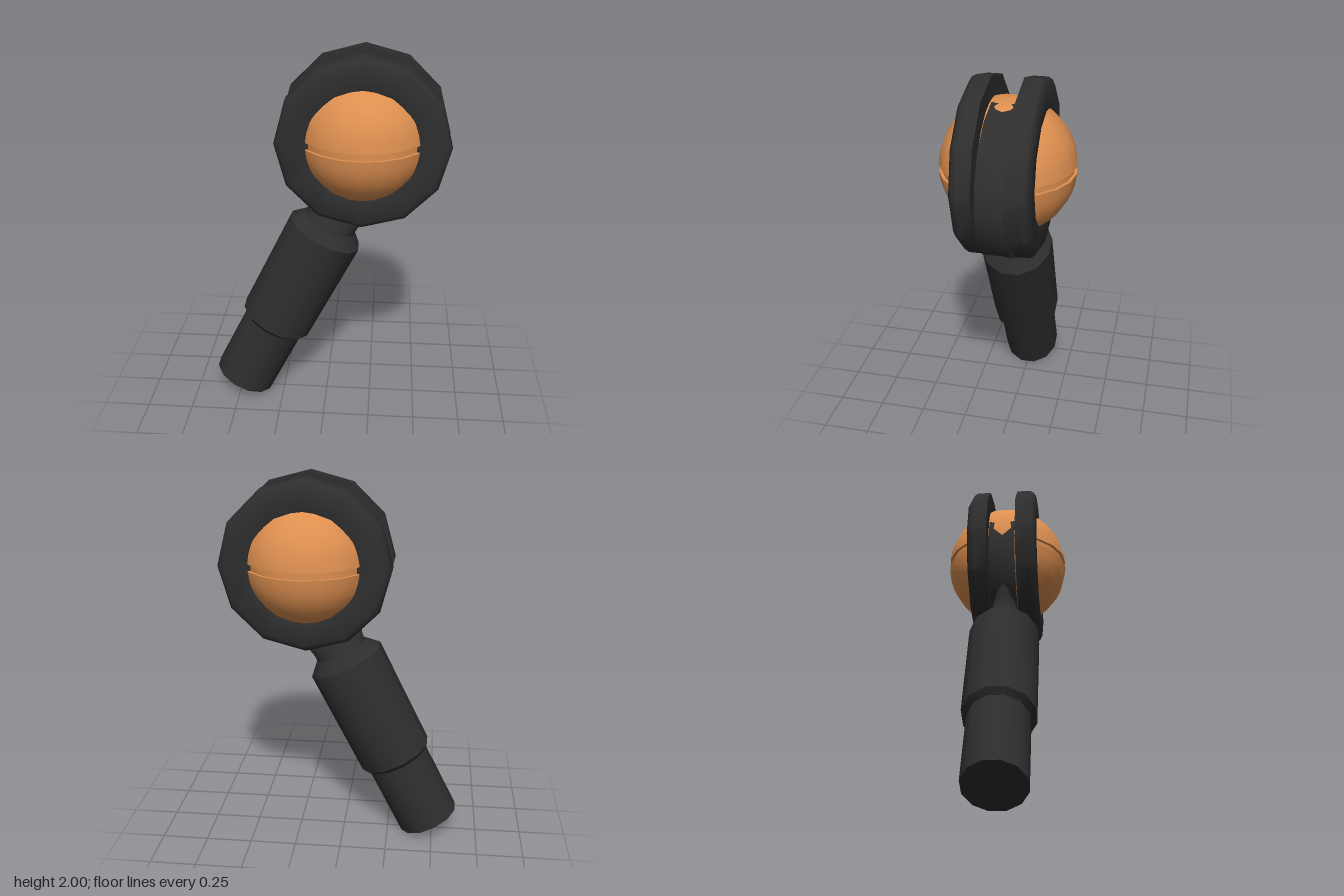
import * as THREE from 'three';
import { toCreasedNormals } from 'three/addons/utils/BufferGeometryUtils.js';

const black = new THREE.MeshStandardMaterial({ color: 0x2e2e2e });
black.name = 'matte black';
const orange = new THREE.MeshStandardMaterial({ color: 0xdd8f50 });
orange.name = 'orange';

const vectors = (points) => points.map(([r, y]) => new THREE.Vector2(r, y));

function part(name, geometry, material) {
  const mesh = new THREE.Mesh(toCreasedNormals(geometry, 0.6), material);
  mesh.name = name;
  return mesh;
}

// Elliptical sections stacked along y: [height, half width x, half depth z]
function loft(sections, sides) {
  const n = sections.length - 1;
  const geometry = new THREE.CylinderGeometry(1, 1, 1, sides, n);
  const p = geometry.attributes.position;
  for (let i = 0; i < p.count; i++) {
    const [y, a, b] = sections[Math.round((p.getY(i) + 0.5) * n)];
    p.setXYZ(i, p.getX(i) * a, y, p.getZ(i) * b);
  }
  return geometry;
}

export function createModel() {
  const model = new THREE.Group();
  model.name = 'ballJointLever';
  const cx = 0.187, cy = 1.558;

  // Tilted lever: stem, sleeve, neck and middle disc
  const lever = new THREE.Group();
  lever.name = 'lever';
  lever.position.set(-0.48, 0.075, 0);
  lever.rotation.z = -Math.atan(0.5);
  model.add(lever);

  const stem = new THREE.LatheGeometry(vectors([[0, 0], [0.172, 0], [0.172, 0.43], [0, 0.43]]), 12);
  const sleeve = new THREE.LatheGeometry(vectors([
    [0, 0.41], [0.17, 0.41], [0.203, 0.44], [0.207, 1.055], [0.148, 1.115], [0, 1.115],
  ]), 12);
  for (const [name, geometry] of [['stem', stem], ['sleeve', sleeve]]) {
    geometry.rotateY(Math.PI / 12).scale(1, 1, 0.92);
    lever.add(part(name, geometry, black));
  }

  // Neck flattens and flares into the disc
  lever.add(part('neck', loft([
    [1.09, 0.143, 0.13], [1.15, 0.145, 0.105], [1.2, 0.16, 0.08], [1.27, 0.21, 0.067], [1.36, 0.27, 0.062],
  ], 16), black));

  const disc = part('middleDisc', new THREE.CylinderGeometry(0.387, 0.387, 0.14, 16).rotateX(Math.PI / 2), black);
  disc.position.set(-0.01, 1.592, -0.004);
  lever.add(disc);

  // Front and back clamp rings, bevelled on their outer faces
  const ring = new THREE.LatheGeometry(vectors([
    [0.25, 0.077], [0.442, 0.077], [0.442, 0.15], [0.43, 0.172], [0.405, 0.187],
    [0.3, 0.187], [0.265, 0.175], [0.25, 0.15], [0.25, 0.077],
  ]), 12).rotateX(Math.PI / 2);
  for (const [name, turn] of [['frontRing', 0], ['backRing', Math.PI]]) {
    const mesh = part(name, ring, black);
    mesh.position.set(cx, cy, 0);
    mesh.rotation.y = turn;
    model.add(mesh);
  }

  // Ball with a shallow groove around its equator
  const R = 0.338, start = 0.055, profile = [];
  for (const side of [-1, 1]) {
    const arc = [];
    for (let i = 0; i <= 10; i++) {
      const a = start + (Math.PI / 2 - start) * (i / 10);
      arc.push([R * Math.cos(a), side * R * Math.sin(a)]);
    }
    arc.unshift([R - 0.016, side * R * Math.sin(start)]);
    profile.push(...(side < 0 ? arc.reverse() : arc));
  }
  const ball = part('ball', new THREE.LatheGeometry(vectors(profile), 20), orange);
  ball.position.set(cx, cy + 0.002, 0);
  model.add(ball);

  return model;
}
